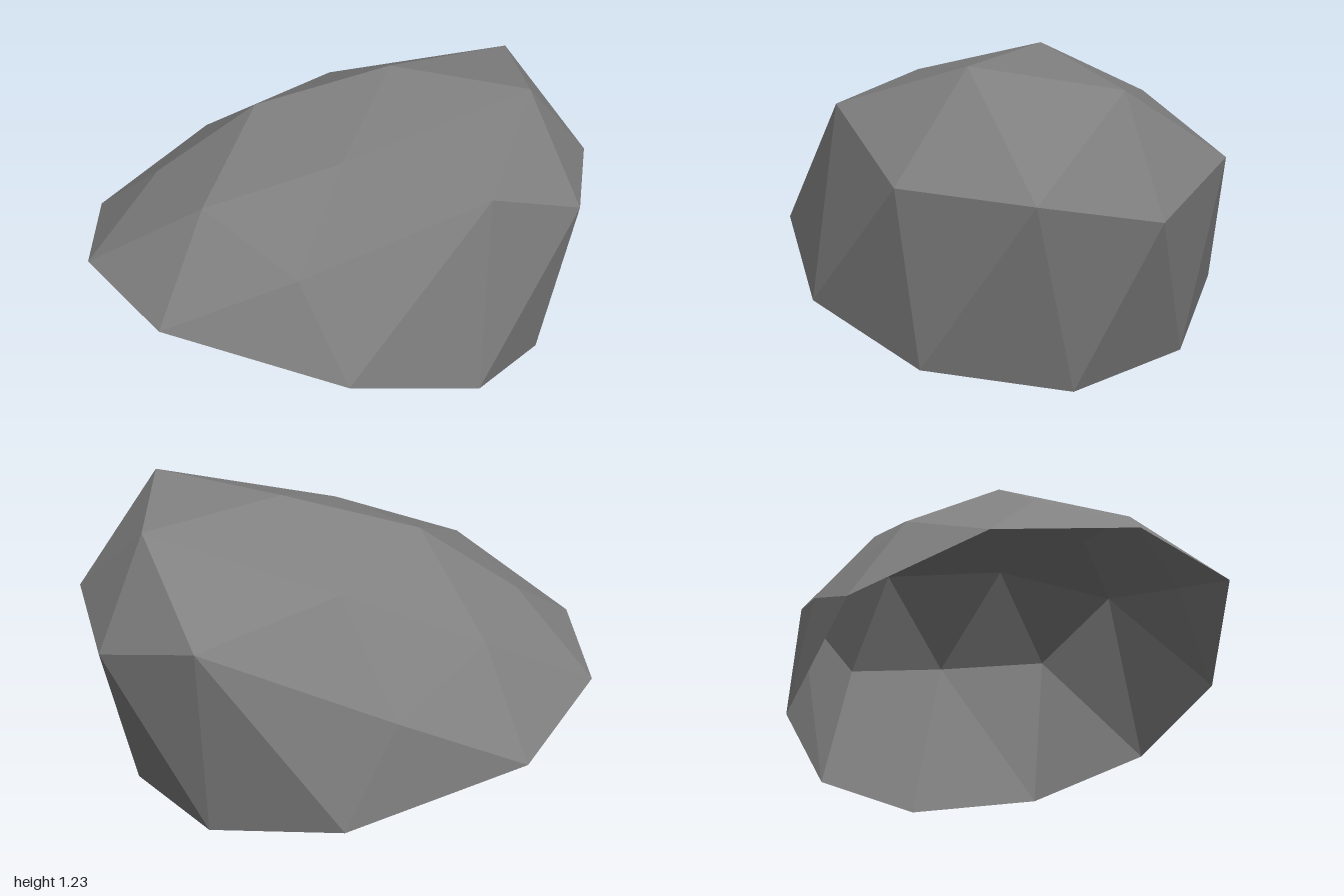
import * as THREE from 'three';

// Rings of the rock shell, from the crown down to the open rim.
// Each runs counter-clockwise seen from above, starting at the front.
const crown = [0.11, 1.2, -0.25];
const shoulder = [
  [0.22, 1.04, 0.28], [0.7, 1.23, -0.33], [0.37, 1.14, -0.78], [-0.33, 0.945, -0.47], [-0.32, 1.05, 0.1],
];
const corners = [
  [0.29, 0.76, 0.68], [1, 0.84, -0.23], [0.43, 0.7, -0.99], [-0.64, 0.53, -0.55], [-0.63, 0.77, 0.38],
];
const between = [
  [0.82, 1.04, 0.19], [0.81, 0.81, -0.7], [-0.05, 0.82, -0.99], [-0.75, 0.72, -0.1], [-0.2, 0.87, 0.62],
];
const rim = [
  [-0.14, 0.54, 0.99], [0.55, 0.4, 0.73], [0.88, 0.24, 0.3], [0.88, 0.09, -0.23], [0.55, 0, -0.7],
  [0.02, 0.01, -0.87], [-0.52, 0.11, -0.72], [-1, 0.31, -0.19], [-1, 0.46, 0.36], [-0.67, 0.54, 0.8],
];

function rockGeometry() {
  const positions = [];
  const tri = (...corner) => corner.forEach((p) => positions.push(...p));

  // One of five sectors of a subdivided icosahedron's upper half
  for (let i = 0; i < 5; i++) {
    const next = (i + 1) % 5;
    const s = shoulder[i], sNext = shoulder[next];
    const c = corners[i], m = between[i], mPrev = between[(i + 4) % 5];
    const a = rim[2 * i], b = rim[2 * i + 1], aNext = rim[2 * next];

    // cap
    tri(crown, s, sNext);
    // upper slope
    tri(s, mPrev, c);
    tri(s, c, m);
    tri(s, m, sNext);
    // side wall
    tri(mPrev, a, c);
    tri(c, a, b);
    tri(c, b, m);
    tri(m, b, aNext);
  }

  const geometry = new THREE.BufferGeometry();
  geometry.setAttribute('position', new THREE.Float32BufferAttribute(positions, 3));
  geometry.computeVertexNormals();
  return geometry;
}

export function createModel() {
  const stone = new THREE.MeshStandardMaterial({ color: 0x808080, flatShading: true, side: THREE.DoubleSide });
  stone.name = 'stone grey';

  const rock = new THREE.Mesh(rockGeometry(), stone);
  rock.name = 'rockShell';

  const group = new THREE.Group();
  group.name = 'rock';
  group.add(rock);
  return group;
}
